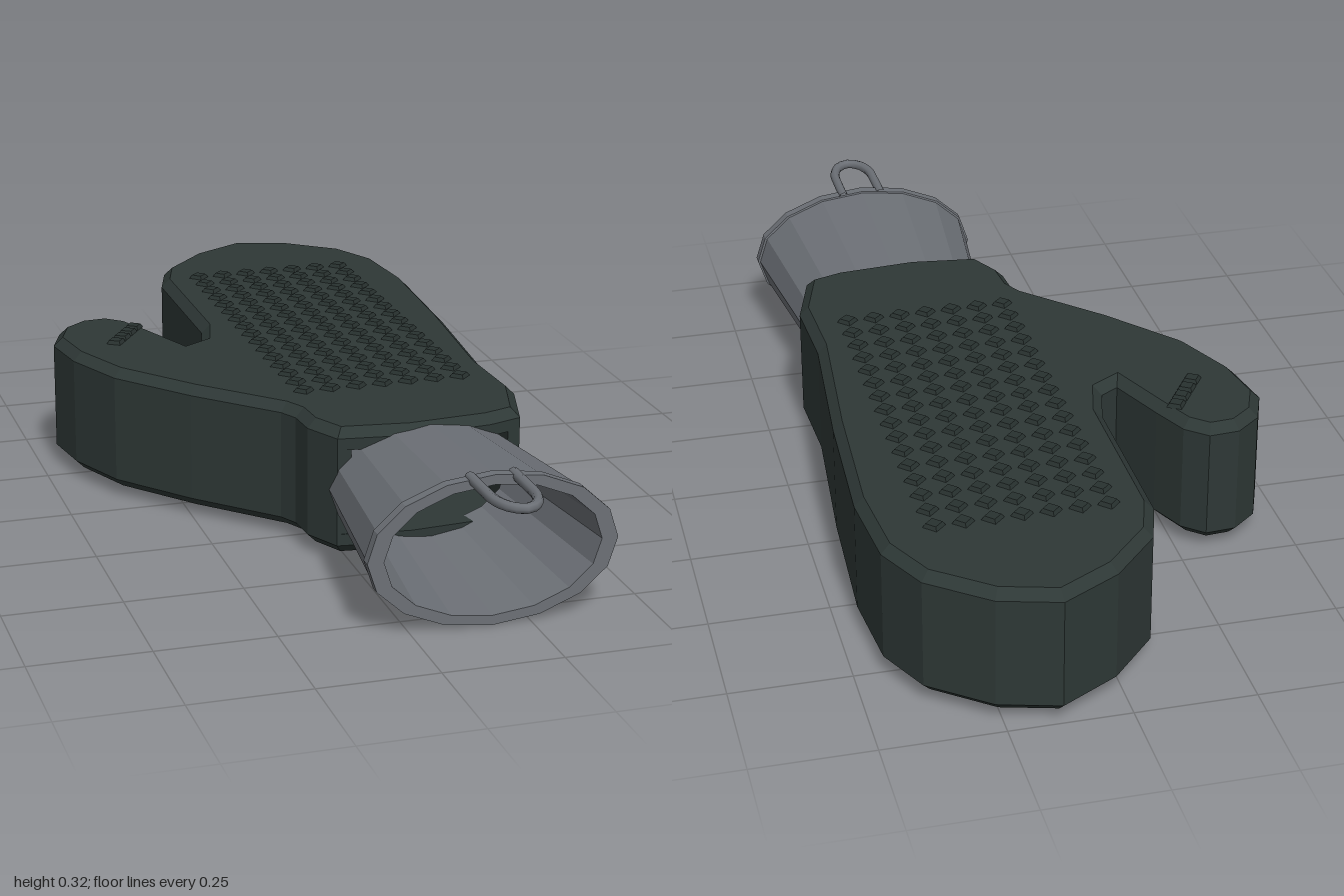
import * as THREE from 'three';

// Mitten outline as [x, z], clockwise seen from above, starting beside the cuff
const OUTLINE = [
  [-0.03, 0.43], [-0.07, 0.35], [-0.075, 0.28], [-0.095, 0.24], [-0.25, 0.08], [-0.38, -0.08],
  [-0.44, -0.22], [-0.46, -0.34], [-0.43, -0.42], [-0.375, -0.465], [-0.31, -0.47],
  [-0.265, -0.43], [-0.23, -0.35], [-0.18, -0.225], [-0.14, -0.25], [-0.116, -0.34],
  [-0.116, -0.72], [-0.085, -0.82], [0.016, -0.93], [0.14, -1], [0.265, -0.965],
  [0.385, -0.87], [0.44, -0.755], [0.456, -0.57], [0.44, -0.26], [0.41, 0.08],
  [0.417, 0.265], [0.375, 0.41], [0.3, 0.435], [0.125, 0.45],
].map(([x, z]) => new THREE.Vector2(x, z));

// Hand pocket, from the right of the opening round to the left
const POCKET = [
  [0.345, 0.42], [0.37, 0.25], [0.365, 0.08], [0.395, -0.26], [0.41, -0.57], [0.39, -0.73],
  [0.25, -0.91], [0.14, -0.95], [0.04, -0.89], [-0.07, -0.72], [-0.07, -0.2], [-0.02, 0.25], [0, 0.43],
].map(([x, z]) => new THREE.Vector2(x, z));

// Moves each outline point inwards by d, mitred
function inset(pts, d) {
  const n = pts.length;
  const normal = (a, b) => {
    const e = b.clone().sub(a).normalize();
    return new THREE.Vector2(-e.y, e.x);
  };
  return pts.map((p, i) => {
    const n1 = normal(pts[(i + n - 1) % n], p);
    const n2 = normal(p, pts[(i + 1) % n]);
    return n1.clone().add(n2).multiplyScalar(d / (1 + n1.dot(n2))).add(p);
  });
}

function flat(geo) {
  const g = geo.index ? geo.toNonIndexed() : geo;
  g.computeVertexNormals();
  return g;
}

// Capped slab from the outline; levels are [y, inset] from bottom to top
function slab(levels) {
  const rings = levels.map(([y, d]) => inset(OUTLINE, d).map((p) => [p.x, y, p.y]));
  const pos = [];
  const n = OUTLINE.length;
  for (let r = 0; r < rings.length - 1; r++) {
    for (let i = 0; i < n; i++) {
      const j = (i + 1) % n;
      const a = rings[r][i], b = rings[r][j], c = rings[r + 1][j], d = rings[r + 1][i];
      pos.push(...a, ...d, ...c, ...a, ...c, ...b);
    }
  }
  for (const [ring, sign] of [[rings[0], -1], [rings[rings.length - 1], 1]]) {
    const flatRing = ring.map((p) => new THREE.Vector2(p[0], p[2]));
    for (const t of THREE.ShapeUtils.triangulateShape(flatRing, [])) {
      const [a, b, c] = t.map((k) => ring[k]);
      const ny = (b[2] - a[2]) * (c[0] - a[0]) - (b[0] - a[0]) * (c[2] - a[2]);
      if (ny * sign > 0) pos.push(...a, ...b, ...c);
      else pos.push(...a, ...c, ...b);
    }
  }
  const g = new THREE.BufferGeometry();
  g.setAttribute('position', new THREE.Float32BufferAttribute(pos, 3));
  return flat(g);
}

export function createModel() {
  const model = new THREE.Group();
  model.name = 'ovenMitten';

  const rubber = new THREE.MeshStandardMaterial({ color: 0x2e3836 });
  rubber.name = 'dark green rubber';
  const stud = new THREE.MeshStandardMaterial({ color: 0x28312f });
  stud.name = 'grip stud green';
  const cloth = new THREE.MeshStandardMaterial({ color: 0x6c7076 });
  cloth.name = 'grey cloth';

  const add = (parent, name, geo, mat) => {
    const m = new THREE.Mesh(geo, mat);
    m.name = name;
    parent.add(m);
    return m;
  };

  // Hollow mitten: bevelled back and palm slabs with a pocket wall between them
  const hand = new THREE.Group();
  hand.name = 'mitten';
  model.add(hand);
  add(hand, 'lowerSide', slab([[0.025, 0.02], [0.045, 0], [0.07, 0]]), rubber);
  add(hand, 'upperSide', slab([[0.255, 0], [0.28, 0], [0.3, 0.02]]), rubber);
  const wallPts = [...OUTLINE.slice(0, -2), ...POCKET].map((p) => new THREE.Vector2(p.x, -p.y));
  const wall = new THREE.ExtrudeGeometry(new THREE.Shape(wallPts), { depth: 0.185, bevelEnabled: false });
  wall.rotateX(-Math.PI / 2).translate(0, 0.07, 0);
  add(hand, 'pocketWall', flat(wall), rubber);

  // Grip studs: diamond pads in a grid on the hand and a short row on the thumb
  const studs = new THREE.Group();
  studs.name = 'gripStuds';
  model.add(studs);
  const studGeo = flat(new THREE.CylinderGeometry(0.017, 0.024, 0.009, 4));
  for (let row = 0; row < 16; row++) {
    for (let col = 0; col < 7; col++) {
      add(studs, 'handStud', studGeo, stud).position.set(-0.026 + col * 0.0585, 0.3035, -0.709 + row * 0.0589);
    }
  }
  for (let i = 0; i < 4; i++) {
    const s = add(studs, 'thumbStud', studGeo, stud);
    s.position.set(-0.333 + i * 0.021, 0.3035, -0.265 - i * 0.032);
    s.rotation.y = 0.2;
  }

  // Flared oval cuff with a rim band, open at both ends
  const profile = [
    [0.18, 0.4], [0.21, 0.4], [0.255, 0.79], [0.26, 0.792], [0.26, 0.816], [0.226, 0.816], [0.18, 0.4],
  ].map(([r, z]) => new THREE.Vector2(r, z));
  const cuff = new THREE.LatheGeometry(profile, 16);
  cuff.rotateX(Math.PI / 2).scale(1, 0.608, 1).translate(0.17, 0.163, 0);
  add(model, 'cuff', flat(cuff), cloth);

  // Hanging loop
  const path = new THREE.CatmullRomCurve3([
    [0.125, 0.79], [0.125, 0.86], [0.128, 0.925], [0.145, 0.965], [0.17, 0.98],
    [0.195, 0.965], [0.212, 0.925], [0.215, 0.86], [0.215, 0.79],
  ].map(([x, z]) => new THREE.Vector3(x, 0.312, z)));
  add(model, 'hangingLoop', new THREE.TubeGeometry(path, 24, 0.011, 8), cloth);

  return model;
}
